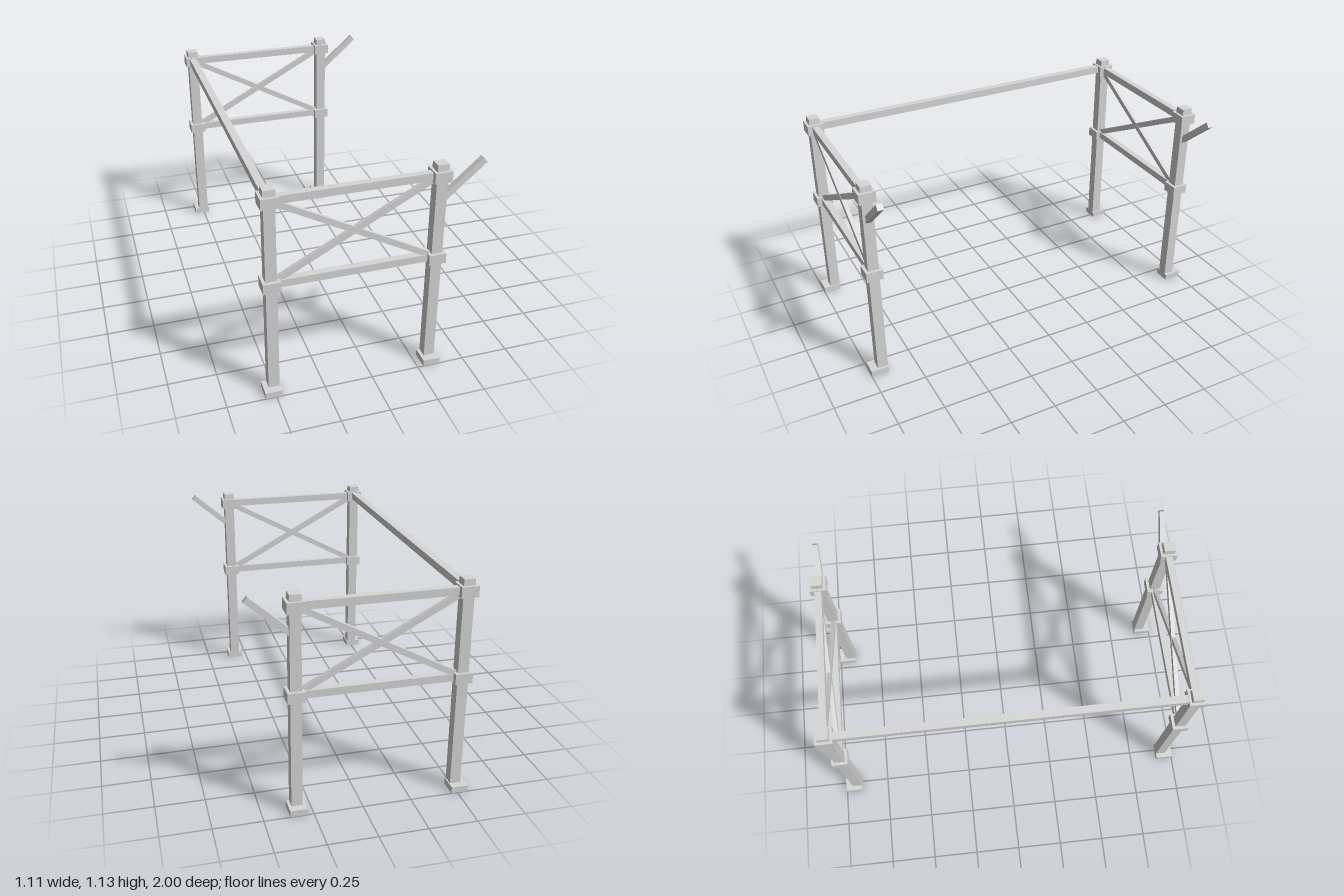
import * as THREE from 'three';

const material = new THREE.MeshStandardMaterial({ color: 0xd7d7d7 });
material.name = 'pale grey';

const POST_X = [-0.502, 0.326];
const FRAME_Z = 0.932;

function box(parent, name, size, position) {
  const mesh = new THREE.Mesh(new THREE.BoxGeometry(...size), material);
  mesh.name = name;
  mesh.position.set(...position);
  parent.add(mesh);
  return mesh;
}

// Slanted beam between two points in the frame's xy plane
function beam(parent, name, [x1, y1], [x2, y2], width, depth, z = 0) {
  const length = Math.hypot(x2 - x1, y2 - y1);
  const mesh = box(parent, name, [length, width, depth], [(x1 + x2) / 2, (y1 + y2) / 2, z]);
  mesh.rotation.z = Math.atan2(y2 - y1, x2 - x1);
}

// Square block narrowing slightly towards the top
function taperedBlock(parent, name, bottom, top, height, position) {
  const geometry = new THREE.BoxGeometry(1, height, 1);
  const p = geometry.attributes.position;
  for (let i = 0; i < p.count; i++) {
    const s = p.getY(i) > 0 ? top : bottom;
    p.setX(i, p.getX(i) * s);
    p.setZ(i, p.getZ(i) * s);
  }
  geometry.computeVertexNormals();
  const mesh = new THREE.Mesh(geometry, material);
  mesh.name = name;
  mesh.position.set(...position);
  parent.add(mesh);
}

// One end frame; side is +1 for the front, -1 for the back
function endFrame(side) {
  const frame = new THREE.Group();
  frame.name = side > 0 ? 'frontFrame' : 'backFrame';
  frame.position.z = side * FRAME_Z;

  for (const x of POST_X) {
    box(frame, 'post', [0.056, 1.1, 0.056], [x, 0.57, 0]);
    taperedBlock(frame, 'postCap', 0.061, 0.057, 0.04, [x, 1.115, 0]);
    box(frame, 'upperCollar', [0.088, 0.056, 0.088], [x, 1.074, 0]);
    box(frame, 'lowerCollar', [0.088, 0.054, 0.088], [x, 0.629, 0]);
    // Feet stick outwards past the posts
    box(frame, 'foot', [0.088, 0.034, 0.096], [x < 0 ? -0.512 : 0.325, 0.017, side * 0.02]);
  }

  // Horizontal rails and crossed braces
  box(frame, 'upperRail', [0.828, 0.04, 0.036], [-0.088, 1.074, 0]);
  box(frame, 'lowerRail', [0.828, 0.039, 0.036], [-0.088, 0.63, 0]);
  beam(frame, 'fallingBrace', [-0.48, 1.06], [0.302, 0.64], 0.031, 0.022, 0.001);
  beam(frame, 'risingBrace', [-0.48, 0.64], [0.302, 1.06], 0.031, 0.022, -0.001);

  // Outrigger arm
  beam(frame, 'slantedArm', [0.337, 0.939], [0.547, 1.1225], 0.032, 0.03);
  return frame;
}

export function createModel() {
  const model = new THREE.Group();
  model.name = 'timberFrame';
  model.add(endFrame(1), endFrame(-1));
  // Long beam joining both frames
  box(model, 'ridgeBeam', [0.04, 0.04, 2 * FRAME_Z], [-0.505, 1.078, 0]);
  return model;
}
